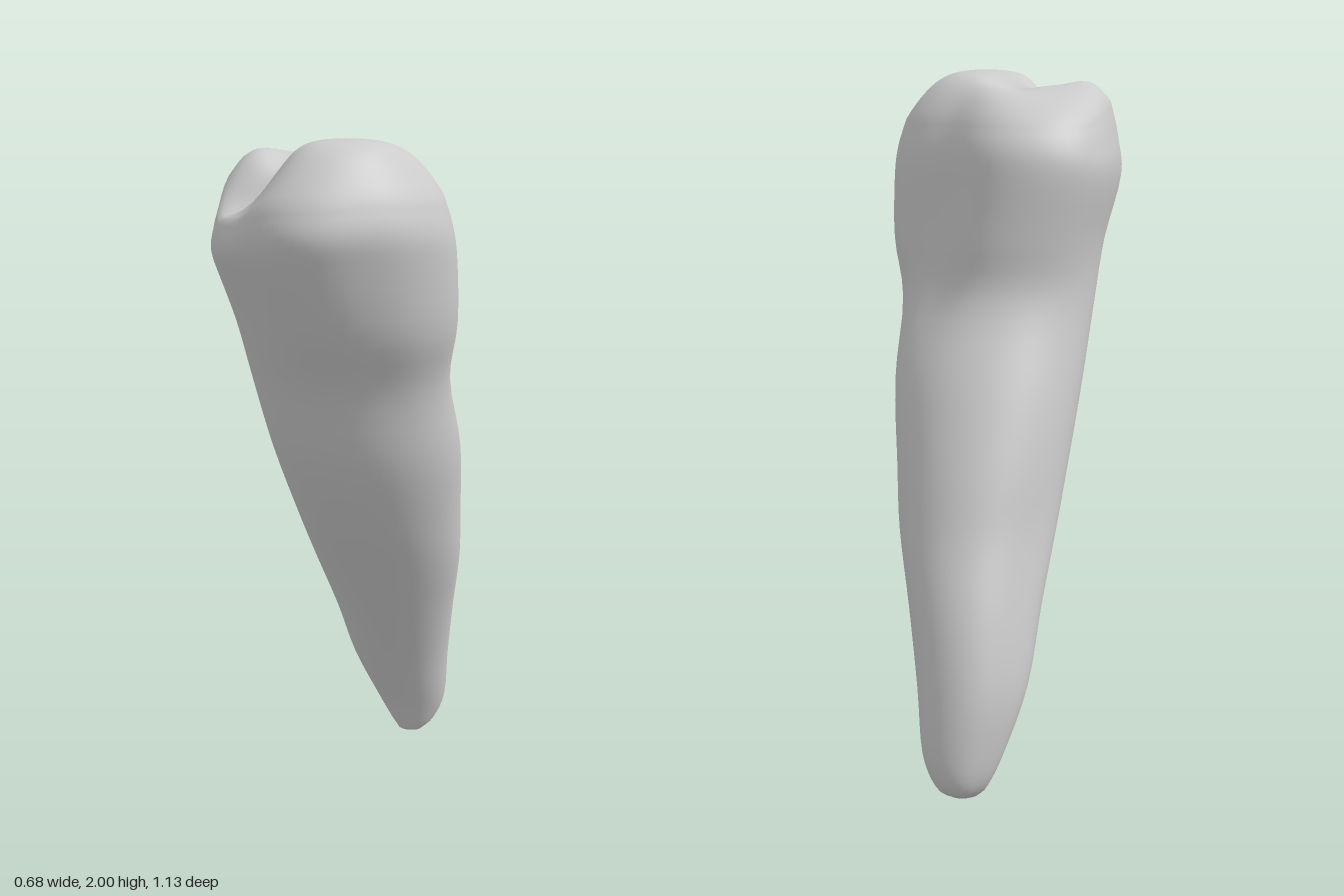
import * as THREE from 'three';

const { smoothstep, radToDeg } = THREE.MathUtils;
const SEG = 64;
const STEPS = 4; // rings between two key sections
const CAP = 20;  // rings across the chewing surface

// Key sections: y, xMin, xMax, zMin, zMax
const sections = [
  [0.003, 0.09, 0.165, -0.49, -0.435],
  [0.04, 0.06, 0.205, -0.545, -0.415],
  [0.13, 0.015, 0.24, -0.565, -0.37],
  [0.30, -0.05, 0.255, -0.56, -0.265],
  [0.50, -0.09, 0.28, -0.515, -0.13],
  [0.70, -0.135, 0.31, -0.44, 0.01],
  [0.87, -0.17, 0.32, -0.385, 0.13],
  [1.10, -0.215, 0.33, -0.295, 0.265],
  [1.33, -0.255, 0.312, -0.197, 0.35],
  [1.50, -0.285, 0.337, -0.20, 0.455],
  [1.68, -0.335, 0.338, -0.21, 0.54],
  [1.77, -0.328, 0.328, -0.198, 0.568],
  [1.85, -0.31, 0.303, -0.16, 0.545],
];

// Cusps (+) and grooves (-) of the chewing surface: x, z, height, spread
const relief = [
  [0.08, 0.36, 0.06, 0.13],
  [-0.29, 0.06, 0.055, 0.11],
  [-0.07, -0.03, -0.045, 0.16],
  [-0.23, 0.26, -0.10, 0.09],
  [-0.14, 0.25, -0.07, 0.07],
  [-0.13, 0.14, -0.06, 0.07],
  [-0.01, 0.07, -0.035, 0.07],
  [-0.18, 0.38, -0.07, 0.10],
];

// Where each bulge or flattening of the outline acts along the height
const crown = (y) => smoothstep(y, 1.15, 1.65);
const neck = (y) => Math.exp(-(((y - 1.4) / 0.2) ** 2));
const root = (y) => 1 - smoothstep(y, 0.5, 1.1);

// Departures from an ellipse: direction in degrees, width, amount, height range
const lobes = [
  [-127, 24, 0.07, crown],
  [-46, 32, -0.21, crown],
  [133, 28, -0.06, crown],
  [18, 16, 0.04, crown],
  [64, 20, -0.04, crown],
  [-35, 25, -0.09, neck],
  [42, 28, 0.05, neck],
  [-130, 30, -0.12, root],
  [135, 25, -0.04, root],
];

function reliefAt(x, z) {
  return relief.reduce((sum, [cx, cz, h, s]) =>
    sum + h * Math.exp(-((x - cx) ** 2 + (z - cz) ** 2) / (s * s)), 0);
}

function outline(a, y) {
  return lobes.reduce((r, [deg, width, amount, range]) => {
    let d = radToDeg(a) - deg;
    d -= 360 * Math.round(d / 360);
    return r + amount * range(y) * Math.exp(-((d / width) ** 2));
  }, 1);
}

function edgeCurve(ix, iz) {
  const points = sections.map((s) => new THREE.Vector3(s[ix], s[0], s[iz]));
  return new THREE.CatmullRomCurve3(points, false, 'catmullrom', 0.5);
}

export function createModel() {
  const low = edgeCurve(1, 3);
  const high = edgeCurve(2, 4);
  const pos = [];
  const index = [];
  let rings = 0;

  function addRing(p, q, scale, lift) {
    const cx = (p.x + q.x) / 2, cz = (p.z + q.z) / 2;
    const weight = smoothstep(p.y, 1.62, 1.86);
    for (let j = 0; j < SEG; j++) {
      const a = (j / SEG) * Math.PI * 2;
      const r = scale * outline(a, p.y);
      const x = cx + r * Math.cos(a) * (q.x - p.x) / 2;
      const z = cz + r * Math.sin(a) * (q.z - p.z) / 2;
      pos.push(x, p.y + lift + weight * reliefAt(x, z), z);
    }
    rings++;
  }

  // Root and crown walls
  const rows = (sections.length - 1) * STEPS;
  for (let i = 0; i <= rows; i++) addRing(low.getPoint(i / rows), high.getPoint(i / rows), 1, 0);

  // Domed chewing surface
  const rimLow = low.getPoint(1), rimHigh = high.getPoint(1);
  for (let i = 1; i < CAP; i++) {
    const t = 1 - i / CAP;
    addRing(rimLow, rimHigh, t, 0.145 * (1 - t ** 3.4));
  }

  for (let i = 0; i < rings - 1; i++) {
    for (let j = 0; j < SEG; j++) {
      const a = i * SEG + j, b = i * SEG + (j + 1) % SEG;
      index.push(a, a + SEG, b, b, a + SEG, b + SEG);
    }
  }

  // Closing points at the root tip and the middle of the crown
  const tip = pos.length / 3, top = tip + 1, last = (rings - 1) * SEG;
  const cx = (rimLow.x + rimHigh.x) / 2, cz = (rimLow.z + rimHigh.z) / 2;
  pos.push(0.128, 0, -0.462, cx, 1.995 + reliefAt(cx, cz), cz);
  for (let j = 0; j < SEG; j++) {
    const k = (j + 1) % SEG;
    index.push(tip, j, k, top, last + k, last + j);
  }

  // Round the highest cusp off at y = 2
  for (let i = 1; i < pos.length; i += 3) {
    if (pos[i] > 1.94) pos[i] = 1.94 + 0.067 * Math.tanh((pos[i] - 1.94) / 0.067);
  }

  const geometry = new THREE.BufferGeometry();
  geometry.setAttribute('position', new THREE.Float32BufferAttribute(pos, 3));
  geometry.setIndex(index);
  geometry.computeVertexNormals();

  const tooth = new THREE.Mesh(geometry, new THREE.MeshStandardMaterial({ color: 0xcccccc }));
  tooth.name = 'tooth';
  const group = new THREE.Group();
  group.name = 'singleRootedTooth';
  group.add(tooth);
  return group;
}
